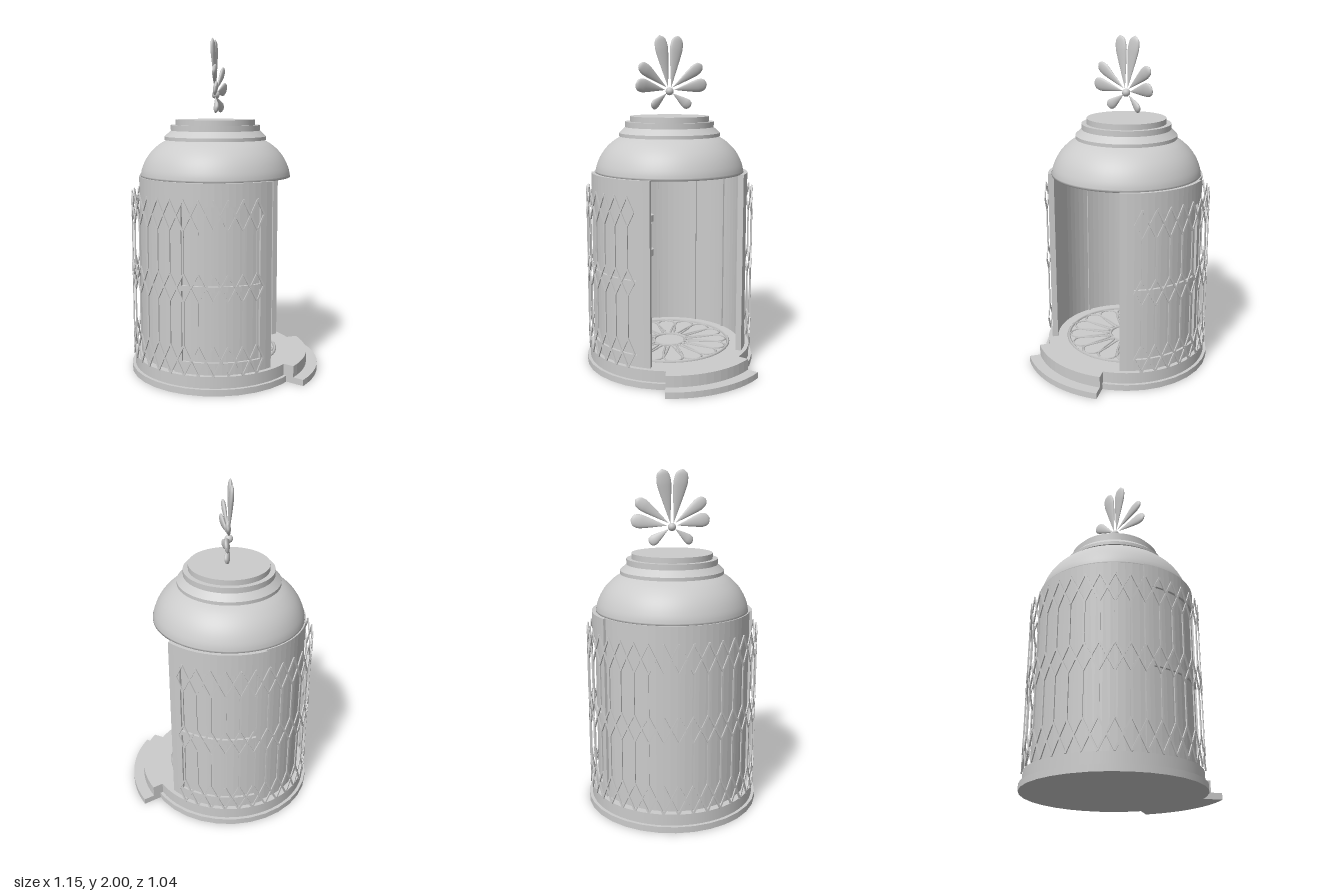
import * as THREE from 'three';
import { mergeGeometries } from 'three/addons/utils/BufferGeometryUtils.js';

const RAD = Math.PI / 180;

export function createModel() {
  const model = new THREE.Group();
  const kiosk = new THREE.Group();
  kiosk.name = 'pavilion';
  kiosk.position.x = -0.055;
  model.add(kiosk);

  const mat = new THREE.MeshStandardMaterial({ color: 0xcccccc });
  const openMat = new THREE.MeshStandardMaterial({ color: 0xcccccc, side: THREE.DoubleSide });
  const add = (name, geo, material = mat) => {
    const mesh = new THREE.Mesh(geo, material);
    mesh.name = name;
    kiosk.add(mesh);
    return mesh;
  };

  // Solid ring sector between two angles (degrees from +x), from y0 up to y1
  const sector = (r0, r1, a0, a1, y0, y1) => {
    const n = Math.max(2, Math.ceil(Math.abs(a1 - a0) / 5));
    const pts = [];
    for (let i = 0; i <= n; i++) {
      const a = (a0 + (a1 - a0) * i / n) * RAD;
      pts.push(new THREE.Vector2(r1 * Math.cos(a), r1 * Math.sin(a)));
    }
    for (let i = n; i >= 0; i--) {
      const a = (a0 + (a1 - a0) * i / n) * RAD;
      pts.push(new THREE.Vector2(r0 * Math.cos(a), r0 * Math.sin(a)));
    }
    const geo = new THREE.ExtrudeGeometry(new THREE.Shape(pts), { depth: y1 - y0, bevelEnabled: false });
    return geo.rotateX(-Math.PI / 2).translate(0, y0, 0);
  };
  const disc = (r, y0, y1, n = 32) => new THREE.CylinderGeometry(r, r, y1 - y0, n).translate(0, (y0 + y1) / 2, 0);

  // Two-tier plinth and entrance steps
  add('lowerPlinth', disc(0.52, 0, 0.037));
  add('upperPlinth', disc(0.5, 0.037, 0.105, 64));
  add('lowerStep', sector(0.45, 0.632, -29, 29, 0, 0.037));
  add('upperStep', sector(0.45, 0.565, -29, 29, 0.037, 0.105));

  // Cylindrical wall with a doorway towards +x
  add('wall', sector(0.44, 0.46, 40, 320, 0.1, 1.19));

  // Raised frames beside the doorway: jambs, stiles and rails
  for (const s of [1, -1]) {
    const frame = (a, b, y0, y1) => (s > 0 ? sector(0.455, 0.475, a, b, y0, y1) : sector(0.455, 0.475, -b, -a, y0, y1));
    add('sideFrame', mergeGeometries([
      frame(40, 50, 0.1, 1.19),
      frame(106, 112, 0.1, 1.19),
      frame(50, 106, 0.1, 0.175),
      frame(50, 106, 0.585, 0.615),
      frame(50, 106, 1.06, 1.19),
    ]));
  }

  // Slim ribs dividing the inner wall into panels
  for (const a of [100, 130, 162, 198, 230, 260])
    add('innerRib', sector(0.43, 0.442, a - 1, a + 1, 0.1, 1.19));

  // Lamp on the inner back wall
  const lamp = (r, y0, y1) => disc(r, y0, y1, 24).translate(-0.4, 0, -0.012);
  add('wallLamp', mergeGeometries([lamp(0.045, 0.6, 0.82), lamp(0.06, 0.57, 0.615), lamp(0.06, 0.805, 0.85)]));

  // Folding lattice: three rows of diamonds joined by upright bars
  const bars = [];
  const up = new THREE.Vector3(0, 1, 0);
  const onRing = (a, y) => new THREE.Vector3(0.506 * Math.cos(a * RAD), y, 0.506 * Math.sin(a * RAD));
  const bar = (a0, y0, a1, y1) => {
    const p = onRing(a0, y0), q = onRing(a1, y1);
    const dir = q.clone().sub(p), len = dir.length();
    dir.normalize();
    const mid = p.clone().add(q).multiplyScalar(0.5);
    const out = new THREE.Vector3(mid.x, 0, mid.z).normalize();
    const side = new THREE.Vector3().crossVectors(dir, out).normalize();
    const depth = new THREE.Vector3().crossVectors(side, dir);
    const m = new THREE.Matrix4().makeBasis(side, dir, depth).setPosition(mid);
    bars.push(new THREE.BoxGeometry(0.011, len + 0.006, 0.007).applyMatrix4(m));
  };
  const cells = 27, start = 50, pitch = 260 / cells;
  const rows = [[0.108, 0.28], [0.53, 0.69], [0.93, 1.1]];
  for (let i = 0; i < cells; i++) {
    const l = start + i * pitch, c = l + pitch / 2, r = l + pitch;
    for (const [lo, hi] of rows) {
      const mid = (lo + hi) / 2;
      bar(l, mid, c, hi);
      bar(c, hi, r, mid);
      bar(l, mid, c, lo);
      bar(c, lo, r, mid);
    }
    bar(c, rows[0][1], c, rows[1][0]);
    bar(c, rows[1][1], c, rows[2][0]);
  }
  add('lattice', mergeGeometries(bars));

  // Floor rosette
  const floor = [];
  const ring = (r, t) => floor.push(new THREE.TorusGeometry(r, t, 4, 48).rotateX(Math.PI / 2));
  ring(0.37, 0.01);
  ring(0.1, 0.01);
  for (let i = 0; i < 16; i++) {
    const petal = new THREE.CatmullRomCurve3([[0.1, 0], [0.22, 0.035], [0.32, 0.055], [0.36, 0], [0.32, -0.055], [0.22, -0.035]]
      .map(([x, z]) => new THREE.Vector3(x, 0, z)), true);
    floor.push(new THREE.TubeGeometry(petal, 20, 0.007, 4, true).rotateY(i * Math.PI / 8));
  }
  add('floorRosette', mergeGeometries(floor).translate(0, 0.107, 0));

  // Hollow dome
  const v = (list) => list.map(([x, y]) => new THREE.Vector2(x, y));
  const domeCurve = new THREE.SplineCurve(v([[0.45, 1.19], [0.443, 1.23], [0.42, 1.285], [0.385, 1.335], [0.335, 1.38], [0.28, 1.41]]));
  add('dome', new THREE.LatheGeometry(domeCurve.getPoints(16), 64), openMat);
  add('domeRim', new THREE.LatheGeometry(v([[0.438, 1.187], [0.452, 1.187], [0.452, 1.2]]), 64), openMat);

  // Stepped collar closing the dome
  add('collarLip', disc(0.305, 1.405, 1.425, 48));
  add('collarSlope', new THREE.CylinderGeometry(0.265, 0.305, 0.038, 48).translate(0, 1.444, 0));
  add('collarRing', disc(0.268, 1.46, 1.493, 48));
  add('collarCap', disc(0.238, 1.49, 1.525, 48));

  // Finial: a fan of eight petals around a small bead
  const centre = new THREE.Vector3(0.003, 1.672, 0);
  add('finialBead', new THREE.SphereGeometry(0.024, 16, 12).translate(centre.x, centre.y, 0));
  const petalShape = new THREE.SplineCurve(v([[0.001, 0], [0.22, 0.3], [0.44, 0.62], [0.5, 0.78], [0.38, 0.93], [0.001, 1]])).getPoints(20)
    .map((p) => new THREE.Vector2(Math.max(p.x, 0), p.y));
  // Each petal: base z, base y, tip z, tip y, tip x, width
  const petals = [
    [0.01, 1.695, 0.062, 2.0, -0.008, 0.085],
    [0.022, 1.69, 0.217, 1.825, 0.025, 0.07],
    [0.03, 1.675, 0.238, 1.77, 0.04, 0.08],
    [0.02, 1.66, 0.13, 1.578, 0.025, 0.06],
  ];
  petals[1] = [0.02, 1.695, 0.21, 1.83, 0.025, 0.07];
  petals[2] = [0.03, 1.68, 0.238, 1.715, 0.035, 0.08];
  for (const s of [1, -1]) {
    for (const [z0, y0, z1, y1, x1, w] of petals) {
      const base = new THREE.Vector3(centre.x, y0, s * z0);
      const dir = new THREE.Vector3(x1, y1, s * z1).sub(base);
      const len = dir.length();
      const petal = add('finialPetal', new THREE.LatheGeometry(petalShape, 16));
      petal.scale.set(0.028, len, w);
      petal.position.copy(base);
      petal.quaternion.setFromUnitVectors(up, dir.normalize());
    }
  }

  return model;
}
